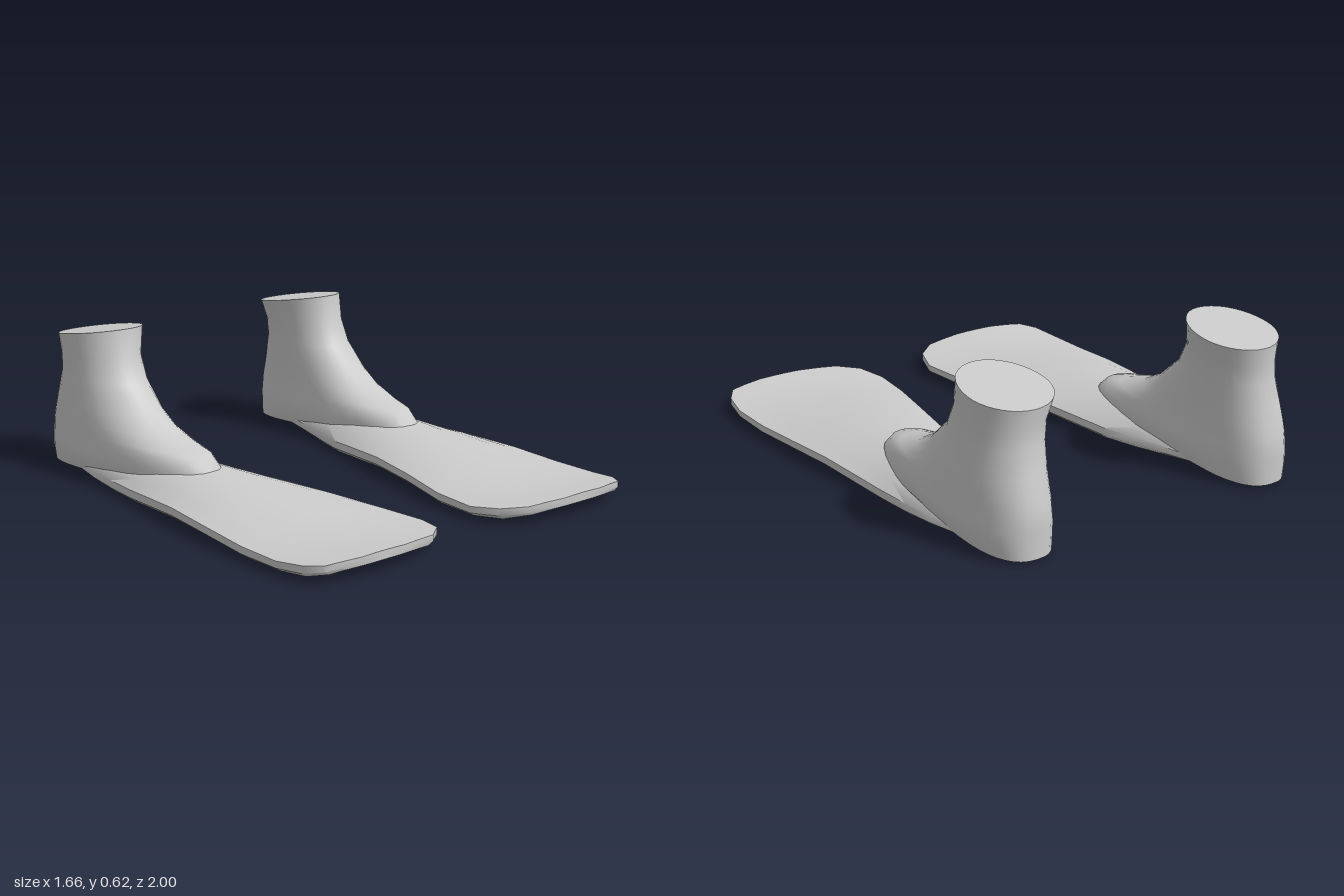
import * as THREE from 'three';
import { toCreasedNormals } from 'three/addons/utils/BufferGeometryUtils.js';

// Skin over closed rings of equal length, capped at both ends
function loft(rings, flip) {
  const n = rings[0].length, m = rings.length, index = [];
  const pos = rings.flat(2);
  const tri = (a, b, c) => (flip ? index.push(a, c, b) : index.push(a, b, c));
  for (let i = 0; i < m - 1; i++) {
    for (let j = 0; j < n; j++) {
      const a = i * n + j, b = i * n + (j + 1) % n;
      tri(a, a + n, b);
      tri(b, a + n, b + n);
    }
  }
  [0, m - 1].forEach((r) => {
    const centre = pos.length / 3;
    for (let k = 0; k < 3; k++) pos.push(rings[r].reduce((s, p) => s + p[k], 0) / n);
    for (let j = 0; j < n; j++) {
      const a = r * n + j, b = r * n + (j + 1) % n;
      r === 0 ? tri(centre, a, b) : tri(centre, b, a);
    }
  });
  const g = new THREE.BufferGeometry();
  g.setAttribute('position', new THREE.Float32BufferAttribute(pos, 3));
  g.setIndex(index);
  return toCreasedNormals(g.toNonIndexed(), 0.85);
}

// Blade stations: z, inner x, outer x, underside y, rim y, crown y
const BLADE = [
  [1.0, 0.42, 0.62, 0.05, 0.083, 0.085],
  [0.985, 0.33, 0.70, 0.045, 0.08, 0.084],
  [0.97, 0.25, 0.765, 0.038, 0.075, 0.083],
  [0.9, 0.165, 0.81, 0.022, 0.067, 0.078],
  [0.78, 0.125, 0.83, 0.014, 0.055, 0.074],
  [0.58, 0.145, 0.83, 0.01, 0.055, 0.083],
  [0.34, 0.2, 0.82, 0.022, 0.067, 0.112],
  [0.1, 0.25, 0.798, 0.024, 0.072, 0.129],
  [-0.1, 0.29, 0.775, 0.01, 0.06, 0.145],
  [-0.25, 0.32, 0.757, 0, 0.05, 0.15],
  [-0.4, 0.36, 0.745, 0, 0.05, 0.15],
  [-0.55, 0.395, 0.73, 0.008, 0.05, 0.14],
  [-0.7, 0.425, 0.705, 0.018, 0.05, 0.1],
  [-0.85, 0.45, 0.68, 0.016, 0.05, 0.08],
];

// Domed top from outer to inner rim, then the flat underside back again
function bladeRing([z, xin, xout, bottom, rim, crown], s) {
  const steps = 10, ring = [], mid = (xin + xout) / 2, half = (xout - xin) / 2;
  for (let k = 0; k <= steps; k++) {
    const u = 1 - (2 * k) / steps;
    ring.push([s * (mid + u * half), rim + (crown - rim) * (1 - u * u), z]);
  }
  ring.push([s * xin, bottom + (rim - bottom) * 0.35, z]);
  for (let k = 0; k <= steps; k++) {
    const u = (2 * k) / steps - 1;
    ring.push([s * (mid + u * (half - 0.02)), bottom, z]);
  }
  ring.push([s * xout, bottom + (rim - bottom) * 0.35, z]);
  return ring;
}

// Boot rings: y at heel, y at toe, heel z, toe z, widest z, inner x, outer x, squareness
const BOOT = [
  [0.01, 0.06, -1, -0.1, -0.72, 0.42, 0.71, 2.5],
  [0.08, 0.09, -1, 0.01, -0.64, 0.4, 0.735, 2.5],
  [0.12, 0.135, -1, 0, -0.65, 0.4, 0.733, 2.5],
  [0.16, 0.178, -1, -0.045, -0.67, 0.405, 0.728, 2.4],
  [0.2, 0.194, -0.993, -0.13, -0.69, 0.408, 0.725, 2.4],
  [0.25, 0.235, -0.982, -0.27, -0.7, 0.41, 0.722, 2.3],
  [0.31, 0.29, -0.967, -0.37, -0.71, 0.41, 0.717, 2.2],
  [0.41, 0.4, -0.942, -0.495, -0.73, 0.408, 0.702, 2.1],
  [0.48, 0.5, -0.94, -0.545, -0.75, 0.4, 0.7, 2],
  [0.56, 0.62, -0.95, -0.56, -0.77, 0.372, 0.706, 2],
];

function bootRing([yHeel, yToe, heel, toe, wide, xin, xout, square], s) {
  const n = 36, ring = [], mid = (xin + xout) / 2, half = (xout - xin) / 2;
  const round = (v) => Math.sign(v) * Math.abs(v) ** (2 / square);
  for (let j = 0; j < n; j++) {
    const a = (j / n) * Math.PI * 2, sin = round(Math.sin(a));
    const z = wide + sin * (sin > 0 ? toe - wide : wide - heel);
    const t = (z - heel) / (toe - heel);
    // the toe leans slightly inward
    const lean = 0.06 * Math.max(0, z + 0.6);
    ring.push([s * (mid - lean + half * round(Math.cos(a))), yHeel + (yToe - yHeel) * t, z]);
  }
  return ring;
}

export function createModel() {
  const group = new THREE.Group();
  group.name = 'swimFins';
  const material = new THREE.MeshStandardMaterial({ color: 0xcccccc });
  for (const s of [1, -1]) {
    const fin = new THREE.Group();
    fin.name = s > 0 ? 'leftFin' : 'rightFin';
    const blade = new THREE.Mesh(loft(BLADE.map((r) => bladeRing(r, s)), s < 0), material);
    blade.name = 'blade';
    const boot = new THREE.Mesh(loft(BOOT.map((r) => bootRing(r, s)), s < 0), material);
    boot.name = 'boot';
    fin.add(blade, boot);
    group.add(fin);
  }
  return group;
}
